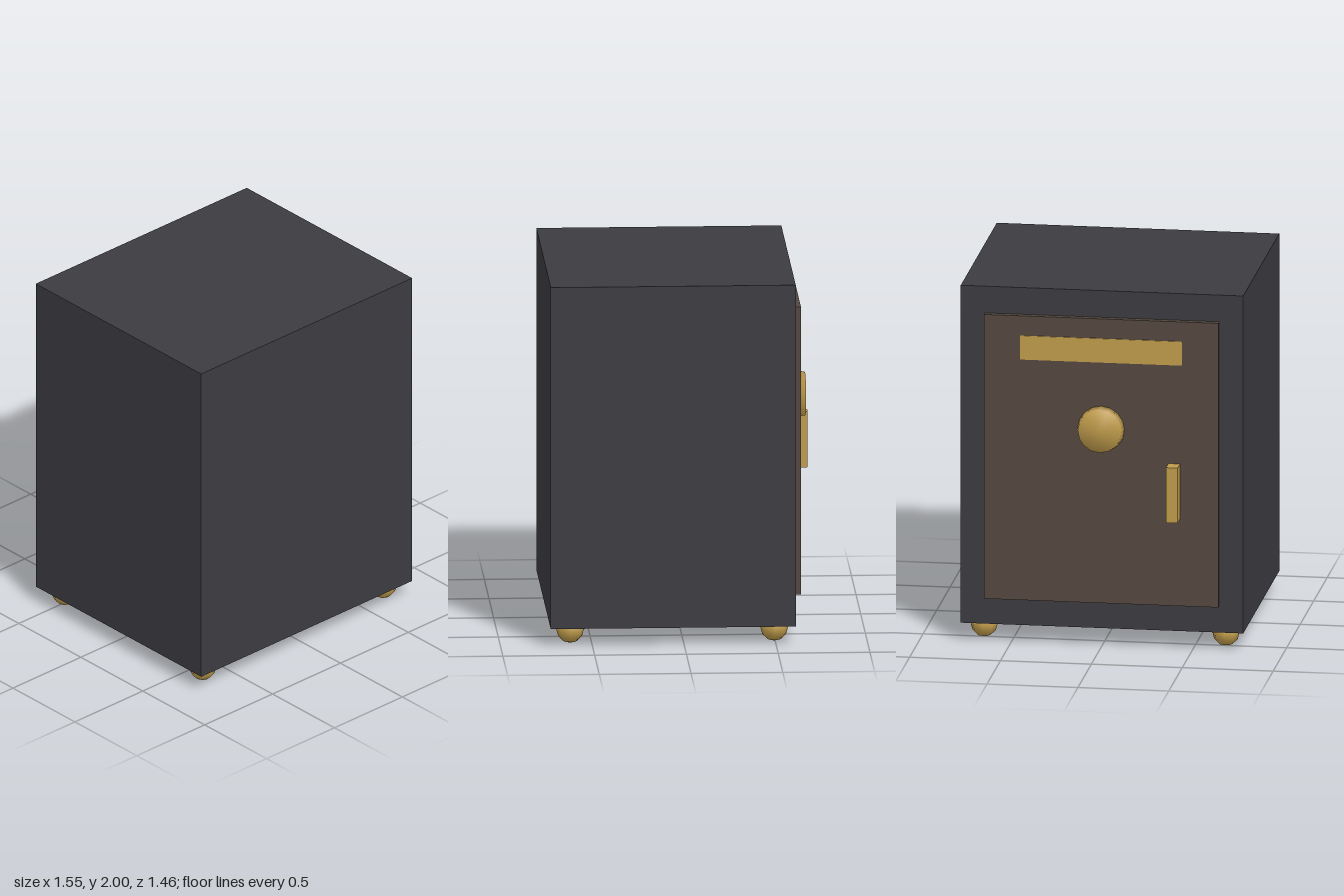
import * as THREE from 'three';
import { mergeVertices } from 'three/addons/utils/BufferGeometryUtils.js';

export function createModel() {
  const safe = new THREE.Group();
  safe.name = 'safe';
  const steel = new THREE.MeshStandardMaterial({ color: 0x3c3b40 });
  const bronze = new THREE.MeshStandardMaterial({ color: 0x54483f });
  const brass = new THREE.MeshStandardMaterial({ color: 0xc09c4c });

  function add(name, geometry, material, x, y, z) {
    const mesh = new THREE.Mesh(geometry, material);
    mesh.name = name;
    mesh.position.set(x, y, z);
    safe.add(mesh);
    return mesh;
  }

  // Box given by its minimum and maximum corners
  function block(name, material, [x0, y0, z0], [x1, y1, z1]) {
    add(name, new THREE.BoxGeometry(x1 - x0, y1 - y0, z1 - z0), material,
      (x0 + x1) / 2, (y0 + y1) / 2, (z0 + z1) / 2);
  }

  // Cabinet, with the door and its fittings on the -z side
  block('body', steel, [-0.777, 0.1, -0.607], [0.777, 2, 0.728]);
  block('door', bronze, [-0.645, 0.25, -0.642], [0.645, 1.85, -0.6]);
  block('namePlate', brass, [-0.445, 1.605, -0.647], [0.445, 1.74, -0.635]);
  block('handle', brass, [-0.435, 0.74, -0.73], [-0.37, 1.05, -0.635]);

  // Tapered dial, with normals blended across the rim
  let dialShape = new THREE.CylinderGeometry(0.12, 0.13, 0.06, 16);
  dialShape.deleteAttribute('normal');
  dialShape.deleteAttribute('uv');
  dialShape = mergeVertices(dialShape);
  dialShape.computeVertexNormals();
  add('dial', dialShape, brass, 0, 1.23, -0.667).rotation.x = -Math.PI / 2;

  // Four ball feet
  const ball = new THREE.SphereGeometry(0.075, 8, 6);
  for (const [side, x] of [['Left', 0.665], ['Right', -0.665]]) {
    for (const [end, z] of [['front', 0.617], ['back', -0.495]]) {
      add(`${end}${side}Foot`, ball, brass, x, 0.075, z);
    }
  }
  return safe;
}
